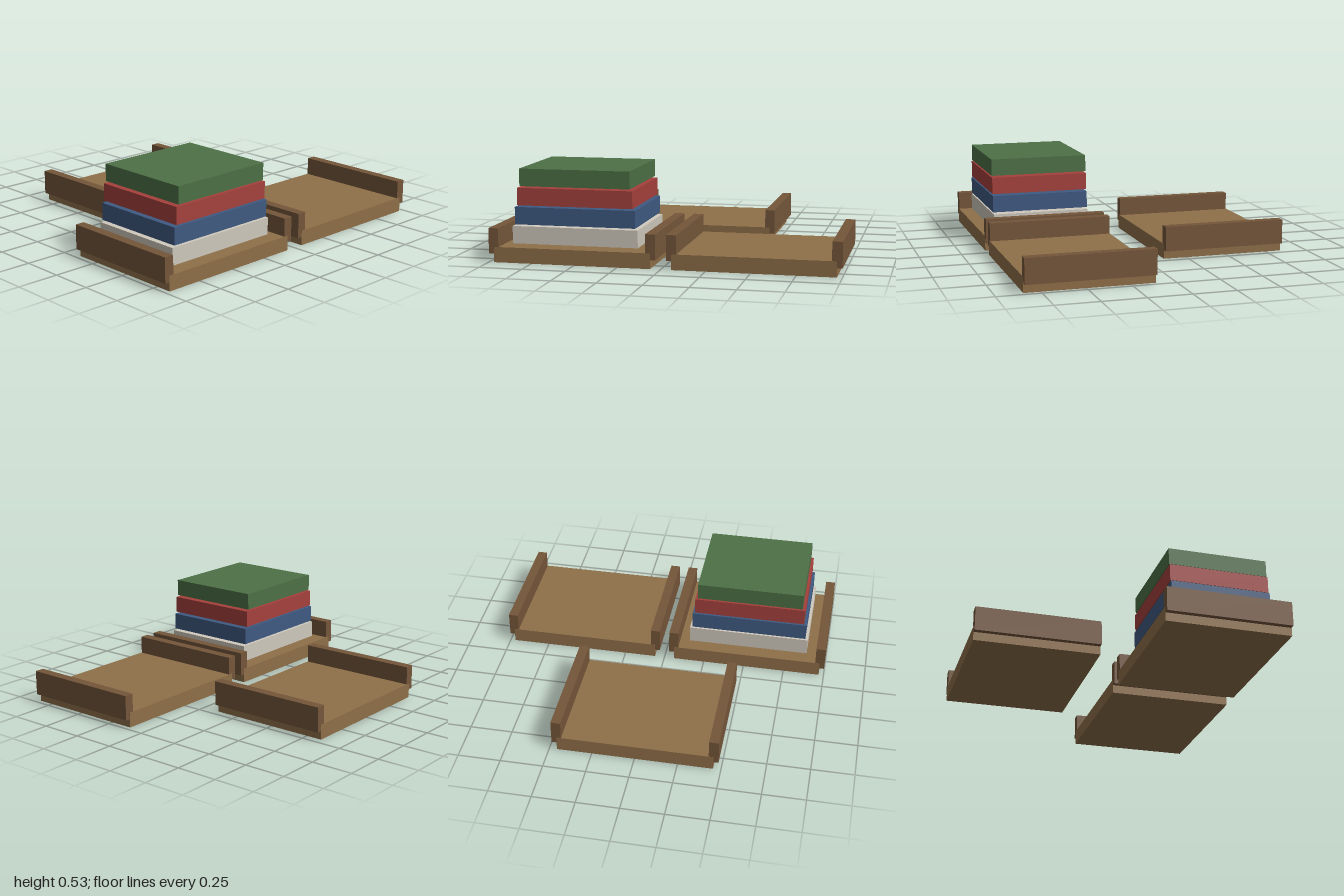
import * as THREE from 'three';

const paint = (color) => new THREE.MeshStandardMaterial({ color });

function box(name, material, w, h, d, x, y, z) {
  const mesh = new THREE.Mesh(new THREE.BoxGeometry(w, h, d), material);
  mesh.name = name;
  mesh.position.set(x, y + h / 2, z); // y is the underside
  return mesh;
}

export function createModel() {
  const model = new THREE.Group();
  model.name = 'traysWithStack';
  const wood = paint(0x8f6f48);
  const darkWood = paint(0x75563a);
  const trayZ = 0.478;

  // Three trays: a base board with a raised rail on each side
  const makeTray = (name, x, z) => {
    const tray = new THREE.Group();
    tray.name = name;
    tray.position.set(x, 0, z);
    tray.add(box('trayBase', wood, 0.91, 0.088, 0.735, 0, 0, 0));
    for (const [side, s] of [['left', 1], ['right', -1]]) {
      tray.add(box(side + 'Rail', darkWood, 0.057, 0.145, 0.733, s * 0.4565, 0.05, 0));
    }
    return tray;
  };
  model.add(
    makeTray('frontRightTray', -0.515, trayZ),
    makeTray('frontLeftTray', 0.515, trayZ),
    makeTray('backTray', 0, -trayZ),
  );

  // Stack of four slabs, narrowing upward with small gaps between them
  const stack = new THREE.Group();
  stack.name = 'slabStack';
  stack.position.set(-0.515, 0.099, trayZ);
  [['whiteSlab', 0xcfc9bd], ['blueSlab', 0x3f5a82], ['redSlab', 0xa5413c], ['greenSlab', 0x4d7045]]
    .forEach(([name, color], i) => {
      stack.add(box(name, paint(color), 0.734 - i * 0.03, 0.1, 0.588, 0, i * 0.11, 0));
    });
  model.add(stack);

  return model;
}
